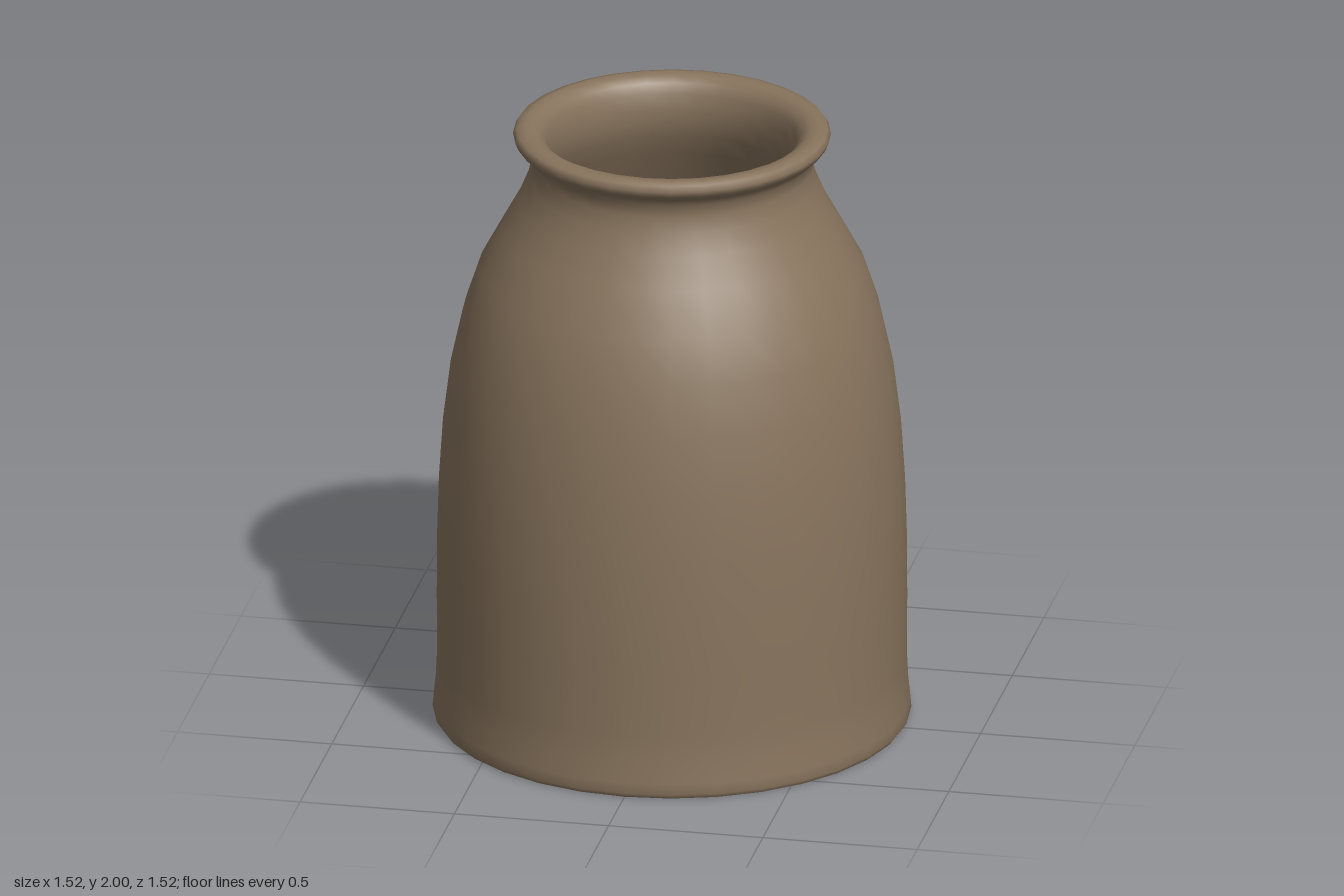
import * as THREE from 'three';

const SIDES = 32;

export function createModel() {
  const model = new THREE.Group();
  model.name = 'jar';
  const clay = new THREE.MeshStandardMaterial({ color: 0x88745d });
  clay.name = 'brown clay';

  const add = (name, geometry) => {
    const mesh = new THREE.Mesh(geometry, clay);
    mesh.name = name;
    model.add(mesh);
    return mesh;
  };

  // Wall profile [radius, height]: up the outside, over the lip, down the inside
  const profile = [
    [0.75, 0], [0.76, 0.015], [0.757, 0.05], [0.75, 0.12], [0.746, 0.2],
    [0.747, 0.4], [0.746, 0.6], [0.74, 0.8], [0.727, 1.0], [0.702, 1.2],
    [0.665, 1.37], [0.615, 1.52], [0.545, 1.65], [0.49, 1.75], [0.461, 1.82],
    [0.45, 1.87], [0.454, 1.91], [0.475, 1.935], [0.497, 1.955],
    [0.505, 1.975], [0.495, 1.993], [0.47, 2.0],
    [0.44, 1.997], [0.415, 1.98], [0.398, 1.95], [0.39, 1.9], [0.392, 1.85],
    [0.405, 1.8], [0.435, 1.73], [0.49, 1.63], [0.555, 1.5], [0.605, 1.35],
    [0.642, 1.18], [0.667, 0.99], [0.68, 0.8], [0.686, 0.6], [0.687, 0.35],
    [0.687, 0.06],
  ];
  add('wall', new THREE.LatheGeometry(profile.map(([r, y]) => new THREE.Vector2(r, y)), SIDES));

  // Flat base underneath and floor inside
  add('base', new THREE.CircleGeometry(0.75, SIDES)).rotation.x = Math.PI / 2;
  const floor = add('floor', new THREE.CircleGeometry(0.687, SIDES));
  floor.rotation.x = -Math.PI / 2;
  floor.position.y = 0.06;

  return model;
}
